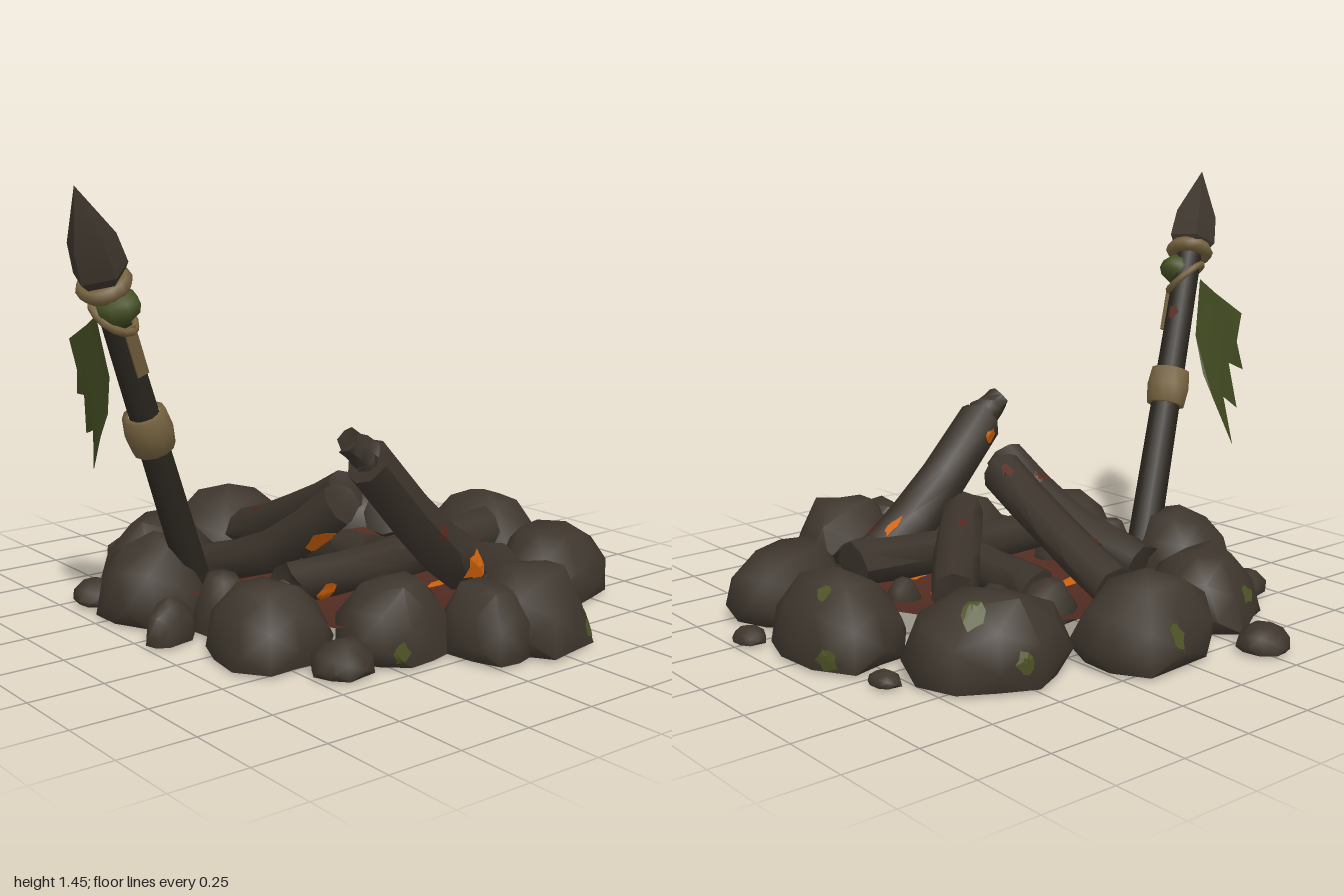
import * as THREE from 'three';
import { toCreasedNormals } from 'three/addons/utils/BufferGeometryUtils.js';

const V = (x, y, z) => new THREE.Vector3(x, y, z);
const UP = V(0, 1, 0);
const hash = (a, b, c, s) => {
  const n = Math.sin(a * 12.99 + b * 78.23 + c * 37.72 + s * 9.17) * 43758.55;
  return n - Math.floor(n);
};

function material(name, hex, open = false) {
  const m = new THREE.MeshStandardMaterial({ color: hex });
  m.name = name;
  if (open) m.side = THREE.DoubleSide;
  return m;
}

// Moves every vertex of a geometry by a rule
function warp(geo, rule, crease = 0.9) {
  const p = geo.attributes.position, v = V(0, 0, 0);
  for (let i = 0; i < p.count; i++) {
    v.fromBufferAttribute(p, i);
    rule(v);
    p.setXYZ(i, v.x, v.y, v.z);
  }
  geo.deleteAttribute('uv');
  return toCreasedNormals(geo, crease);
}

// Domed boulder with a flat foot and an uneven surface
function stoneGeometry(x, z, rx, rz, h, turn, seed, y0 = 0.01) {
  return warp(new THREE.IcosahedronGeometry(1, 1), (v) => {
    const r = [v.x, v.y, v.z].map((n) => Math.round(n * 50) / 50);
    const n = 2.4;
    const k = Math.pow(r.reduce((s, c) => s + Math.pow(Math.abs(c), n), 0), -1 / n);
    v.multiplyScalar(k * (0.87 + 0.19 * hash(r[0], r[1], r[2], seed)));
    const taper = 1.02 - 0.16 * Math.max(0, v.y);
    v.set(v.x * rx * taper, Math.max(0, h * (0.22 + 0.8 * v.y)), v.z * rz * taper);
    v.applyAxisAngle(UP, turn).add(V(x, y0, z));
  }, 1.1);
}

// Charred log swept along a gently bent line
function logGeometry(points, r0, r1, seed) {
  const curve = new THREE.CatmullRomCurve3(points.map((p) => V(...p)));
  const dir = curve.getPoint(1).sub(curve.getPoint(0)).normalize();
  const q = new THREE.Quaternion().setFromUnitVectors(UP, dir);
  return warp(new THREE.CylinderGeometry(1, 1, 1, 8, 4), (v) => {
    const t = THREE.MathUtils.clamp(v.y + 0.5, 0, 1);
    const a = Math.round(v.x * 20), b = Math.round(v.z * 20);
    const r = THREE.MathUtils.lerp(r0, r1, t) * (0.92 + 0.14 * hash(a, b, Math.round(t * 4), seed));
    const end = t > 0.99 || t < 0.01 ? (hash(a, b, t, seed + 3) - 0.5) * 0.04 : 0;
    v.set(v.x * r, end, v.z * r).applyQuaternion(q).add(curve.getPoint(t));
  });
}

// Thin ragged spot laid onto a surface along a direction
function spotGeometry(target, from, dir, w, h, seed) {
  const d = V(...dir), start = V(...from);
  const side = Math.abs(d.y) > 0.9 ? V(1, 0, 0) : V(0, 1, 0).cross(d).normalize();
  const up = side.clone().cross(d).normalize();
  const ray = new THREE.Raycaster();
  const cast = (a, b) => {
    ray.set(start.clone().addScaledVector(side, a).addScaledVector(up, b), d);
    const hit = ray.intersectObject(target)[0];
    return hit ? hit.point.addScaledVector(d, -0.007) : null;
  };
  const centre = cast(0, 0);
  if (!centre) return null;
  const rings = [[], []], n = 10, out = [];
  for (let i = 0; i < n; i++) {
    const a = (i / n) * Math.PI * 2, k = 0.6 + 0.5 * hash(i, 1, 2, seed);
    const inner = cast(Math.cos(a) * w * k * 0.5, Math.sin(a) * h * k * 0.5) || centre;
    rings[0].push(inner);
    rings[1].push(cast(Math.cos(a) * w * k, Math.sin(a) * h * k) || inner);
  }
  for (let i = 0; i < n; i++) {
    const j = (i + 1) % n, [p, q] = rings;
    out.push(centre, p[i], p[j], p[i], q[i], q[j], p[i], q[j], p[j]);
  }
  const geo = new THREE.BufferGeometry().setFromPoints(out);
  geo.computeVertexNormals();
  return geo;
}

export function createModel() {
  const model = new THREE.Group();
  model.name = 'campfire';
  const stone = material('stone', 0x3e362d);
  const char = material('charred wood', 0x3b332b);
  const shaftWood = material('dark shaft wood', 0x2c2720);
  const ash = material('smouldering ash', 0x522c22, true);
  const ember = material('ember orange', 0xd2620a, true);
  const scorch = material('scorched red', 0x55281c, true);
  const rope = material('rope tan', 0x75623f);
  const moss = material('moss green', 0x4c5225, true);
  const cloth = material('cloth olive', 0x465024, true);
  const add = (parent, name, geo, mat) => {
    const m = new THREE.Mesh(geo, mat);
    m.name = name;
    parent.add(m);
    return m;
  };
  const group = (name) => {
    const g = new THREE.Group();
    g.name = name;
    model.add(g);
    return g;
  };

  // Ring stones: x, z, half width, half depth, height, turn
  const ring = group('stoneRing');
  const stones = [
    [0.05, -0.64, 0.25, 0.19, 0.26, 0], [-0.34, -0.52, 0.22, 0.18, 0.25, 0.5],
    [0.53, -0.46, 0.25, 0.2, 0.28, -0.5], [0.77, 0, 0.19, 0.24, 0.26, 0.1],
    [0.69, 0.43, 0.22, 0.19, 0.24, 0.3], [0.25, 0.76, 0.19, 0.18, 0.27, 0.2],
    [0.07, 0.75, 0.13, 0.16, 0.22, 0], [-0.17, 0.57, 0.18, 0.17, 0.25, 0.3],
    [-0.49, 0.36, 0.19, 0.19, 0.25, 0], [-0.55, -0.2, 0.18, 0.19, 0.27, 0.5],
    [-0.4, 0.62, 0.1, 0.09, 0.1, 0.2], [-0.46, 0.08, 0.1, 0.1, 0.2, 0],
    [-0.66, 0.07, 0.09, 0.06, 0.14, 0.2], [-0.64, -0.43, 0.08, 0.08, 0.08, 0.3],
    [-0.27, -0.85, 0.085, 0.085, 0.08, 0.2], [0.82, -0.33, 0.045, 0.055, 0.04, 0],
    [0.945, 0.25, 0.05, 0.06, 0.05, 0],
  ].map((s, i) => add(ring, 'ringStone', stoneGeometry(...s, i + 1), stone));

  // Ash bed: shallow red dish with a dark rounded underside
  const bedShape = (middle, rise) => (v) => {
    const a = Math.atan2(v.z, v.x), r = Math.hypot(v.x, v.z);
    const k = 0.6 + 0.03 * Math.sin(a * 3 + 1) + 0.02 * Math.cos(a * 5);
    v.set(v.x * k + 0.03, middle + rise * r * r, v.z * k + 0.06);
  };
  const disc = (turn) => new THREE.RingGeometry(0.001, 1, 14, 4).rotateX(turn);
  const bed = add(model, 'ashBed', warp(disc(-Math.PI / 2), bedShape(0.04, 0.08)), ash);
  add(model, 'bedUnderside', warp(disc(Math.PI / 2), bedShape(0, 0.11)), stone);

  // Small rocks lying in the ash
  [[0.16, -0.3, 0.11, 0.09, 0.14], [0.28, -0.18, 0.07, 0.08, 0.12], [0.43, 0.12, 0.06, 0.05, 0.1],
    [0.34, 0.53, 0.09, 0.09, 0.12], [-0.29, 0.2, 0.06, 0.06, 0.14]].forEach((s, i) =>
    add(model, 'ashRock', stoneGeometry(...s, 0.3, i + 30, 0.05), stone));

  // Logs leaning together: path, start radius, end radius
  const pile = group('logPile');
  const logs = [
    [[[-0.33, 0.13, -0.24], [-0.24, 0.23, 0.05], [-0.165, 0.43, 0.32]], 0.07, 0.075],
    [[[-0.01, 0.16, -0.44], [-0.025, 0.28, -0.12], [-0.045, 0.43, 0.2]], 0.077, 0.073],
    [[[0.49, 0.19, -0.24], [0.33, 0.24, -0.04], [0.16, 0.31, 0.15]], 0.075, 0.075],
    [[[-0.32, 0.17, 0.23], [0.1, 0.17, 0.22], [0.58, 0.2, 0.2]], 0.07, 0.08],
    [[[0.46, 0.11, 0.38], [0.28, 0.18, 0.385], [0.12, 0.32, 0.39], [-0.12, 0.58, 0.39]], 0.098, 0.086],
    [[[0.145, 0.13, -0.25], [0.145, 0.14, -0.08], [0.145, 0.16, 0.12]], 0.075, 0.075],
  ].map((l, i) => add(pile, 'log', logGeometry(...l, i + 50), char));
  add(pile, 'brokenLogTip', logGeometry([[-0.1, 0.58, 0.38], [-0.13, 0.61, 0.37], [-0.175, 0.64, 0.365]], 0.06, 0.045, 60), char);

  // Leaning spear, built upright and tilted as a group
  const spear = group('spear');
  const foot = V(-0.45, 0.15, -0.12), tip = V(-1, 1.45, 0.15);
  spear.position.copy(foot);
  spear.quaternion.setFromUnitVectors(UP, tip.clone().sub(foot).normalize());
  const shaft = add(spear, 'shaft', new THREE.CylinderGeometry(0.046, 0.058, 1.22, 8), shaftWood);
  shaft.position.y = 0.54;
  const profile = [[0, 0], [0.06, 0], [0.088, 0.04], [0.078, 0.14], [0, 0.32]];
  const blade = new THREE.LatheGeometry(profile.map((p) => new THREE.Vector2(...p)), 5);
  add(spear, 'spearHead', toCreasedNormals(blade, 0.5), stone).position.y = 1.117;

  // Rope cuff, head binding and loose loop
  const cuff = [[0.05, -0.065], [0.07, -0.065], [0.078, 0], [0.07, 0.065], [0.05, 0.065]];
  add(spear, 'ropeCuff', new THREE.LatheGeometry(cuff.map((p) => new THREE.Vector2(...p)), 12), rope).position.y = 0.585;
  [[0.062, 0.026, 1.115, 0.15, 0.1], [0.078, 0.013, 1.01, 0.6, -0.6]].forEach(([r, t, y, rx, rz]) => {
    const band = add(spear, 'ropeBinding', new THREE.TorusGeometry(r, t, 6, 14).rotateX(Math.PI / 2), rope);
    band.position.y = y;
    band.rotation.set(rx, 0, rz);
  });
  const strap = add(spear, 'ropeStrap', new THREE.BoxGeometry(0.04, 0.17, 0.008), rope);
  strap.position.set(0.012, 0.89, 0.052);

  // Cloth knot and torn streamers
  const knot = add(spear, 'clothKnot', new THREE.SphereGeometry(0.065, 8, 6).scale(1.1, 0.85, 1.1), cloth);
  knot.position.set(0.005, 1.045, 0.035);
  const outline = [[-0.03, 1.06], [0.08, 1.02], [0.215, 0.96], [0.22, 0.86], [0.28, 0.77], [0.19, 0.78],
    [0.285, 0.635], [0.2, 0.66], [0.295, 0.505], [0.14, 0.65], [0.09, 0.73], [0.02, 0.86]];
  const flag = new THREE.ShapeGeometry(new THREE.Shape(outline.map((p) => new THREE.Vector2(...p))));
  add(model, 'tornCloth', warp(flag, (v) => {
    const fold = 0.015 * Math.sin(v.x * 30);
    v.set(-0.86 + 0.25 * (1.05 - v.y) + fold, v.y, -v.x);
  }), cloth);

  // Moss, ember and scorch spots: target, ray start, ray direction, half sizes
  model.updateMatrixWorld(true);
  const down = [0, -1, 0], back = [0, 0, -1], front = [0, 0, 1], left = [-1, 0, 0];
  const spots = (name, mat, list) => list.forEach((s, i) => {
    const geo = spotGeometry(...s, i + 1);
    if (geo) add(model, name, geo, mat);
  });
  spots('mossPatch', moss, [
    [stones[2], [0.64, 2, -0.52], down, 0.045, 0.04], [stones[3], [0.86, 2, -0.07], down, 0.025, 0.03],
    [stones[7], [-0.25, 0.06, 2], back, 0.035, 0.035], [stones[5], [0.37, 0.06, 2], back, 0.035, 0.03],
    [stones[5], [2, 0.07, 0.82], left, 0.045, 0.028], [stones[3], [2, 0.05, -0.15], left, 0.035, 0.04],
    [stones[0], [0.08, 0.12, -2], front, 0.03, 0.04], [stones[2], [0.55, 0.1, -2], front, 0.035, 0.04],
    [stones[1], [-0.38, 0.12, -2], front, 0.035, 0.035],
  ]);
  spots('emberPatch', ember, [
    [bed, [-0.17, 2, -0.07], down, 0.085, 0.045], [bed, [0.05, 2, -0.05], down, 0.05, 0.05],
    [bed, [-0.33, 2, -0.07], down, 0.05, 0.025], [bed, [0.3, 2, 0.29], down, 0.09, 0.03],
    [bed, [0.3, 2, 0.11], down, 0.03, 0.03], [logs[3], [-0.2, 0.13, 2], back, 0.045, 0.045],
    [logs[0], [-0.2, 0.3, 2], back, 0.05, 0.045], [logs[1], [-0.04, 0.3, 2], back, 0.042, 0.055],
    [logs[4], [0.32, 2, 0.34], down, 0.04, 0.02], [logs[2], [0.45, 0.17, -2], front, 0.025, 0.03],
    [logs[4], [-0.09, 0.53, -2], front, 0.025, 0.03], [logs[4], [0.28, 0.18, 2], back, 0.045, 0.06],
  ]);
  spots('scorchPatch', scorch, [
    [logs[1], [-0.05, 2, -0.3], down, 0.03, 0.02], [logs[0], [-0.2, 2, 0.15], down, 0.035, 0.025],
    [logs[4], [0.36, 2, 0.4], down, 0.03, 0.02], [logs[4], [0.13, 0.32, 2], back, 0.025, 0.03],
    [logs[2], [0.27, 2, 0], down, 0.025, 0.02], [logs[1], [0, 2, 0.1], down, 0.02, 0.03],
    [shaft, [2, 0.95, 0.03], left, 0.02, 0.025],
  ]);

  return model;
}
